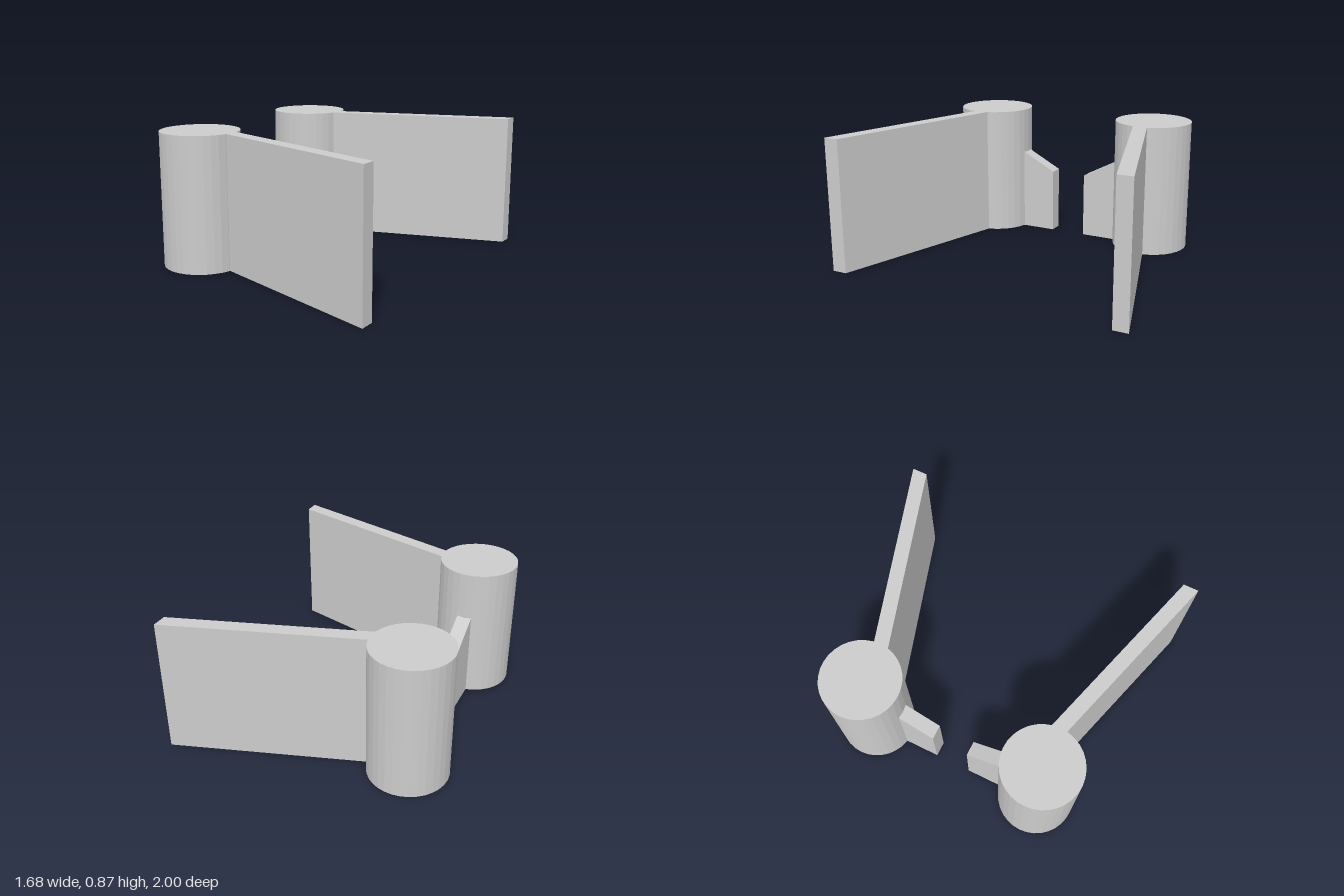
import * as THREE from 'three';

const HEIGHT = 0.865;
const POST = { x: -0.59, z: 0.6, radius: 0.253 };
const material = new THREE.MeshStandardMaterial({ color: 0xcccccc, flatShading: true });

function part(name, geometry) {
  const mesh = new THREE.Mesh(geometry, material);
  mesh.name = name;
  return mesh;
}

function extrude(points, depth) {
  const shape = new THREE.Shape(points.map(([x, y]) => new THREE.Vector2(x, y)));
  return new THREE.ExtrudeGeometry(shape, { depth, bevelEnabled: false });
}

// One half: round post, slanted wall and small sloped fin; side is +1 (front) or -1 (back)
function createHalf(side) {
  const half = new THREE.Group();
  half.name = side > 0 ? 'frontHalf' : 'backHalf';

  const post = new THREE.CylinderGeometry(POST.radius, POST.radius, HEIGHT, 32);
  post.translate(POST.x, HEIGHT / 2, side * POST.z);
  half.add(part('post', post));

  // Wall plan in x and z, splaying outward away from the post
  const plan = [[-0.36, 0.54], [0.84, 0.903], [0.84, 1.0], [-0.36, 0.637]];
  const wall = extrude(plan.map(([x, z]) => [x, -side * z]), HEIGHT);
  wall.rotateX(-Math.PI / 2);
  half.add(part('wall', wall));

  // Fin profile in z and y, its top sloping down toward the gap
  const profile = [[0.12, 0], [0.38, 0], [0.38, 0.572], [0.12, 0.435]];
  const fin = extrude(profile.map(([z, y]) => [side * z, y]), 0.095);
  fin.rotateY(-Math.PI / 2);
  fin.translate(-0.54, 0, 0);
  half.add(part('fin', fin));

  return half;
}

export function createModel() {
  const model = new THREE.Group();
  model.name = 'gateway';
  for (const side of [1, -1]) model.add(createHalf(side));
  return model;
}
